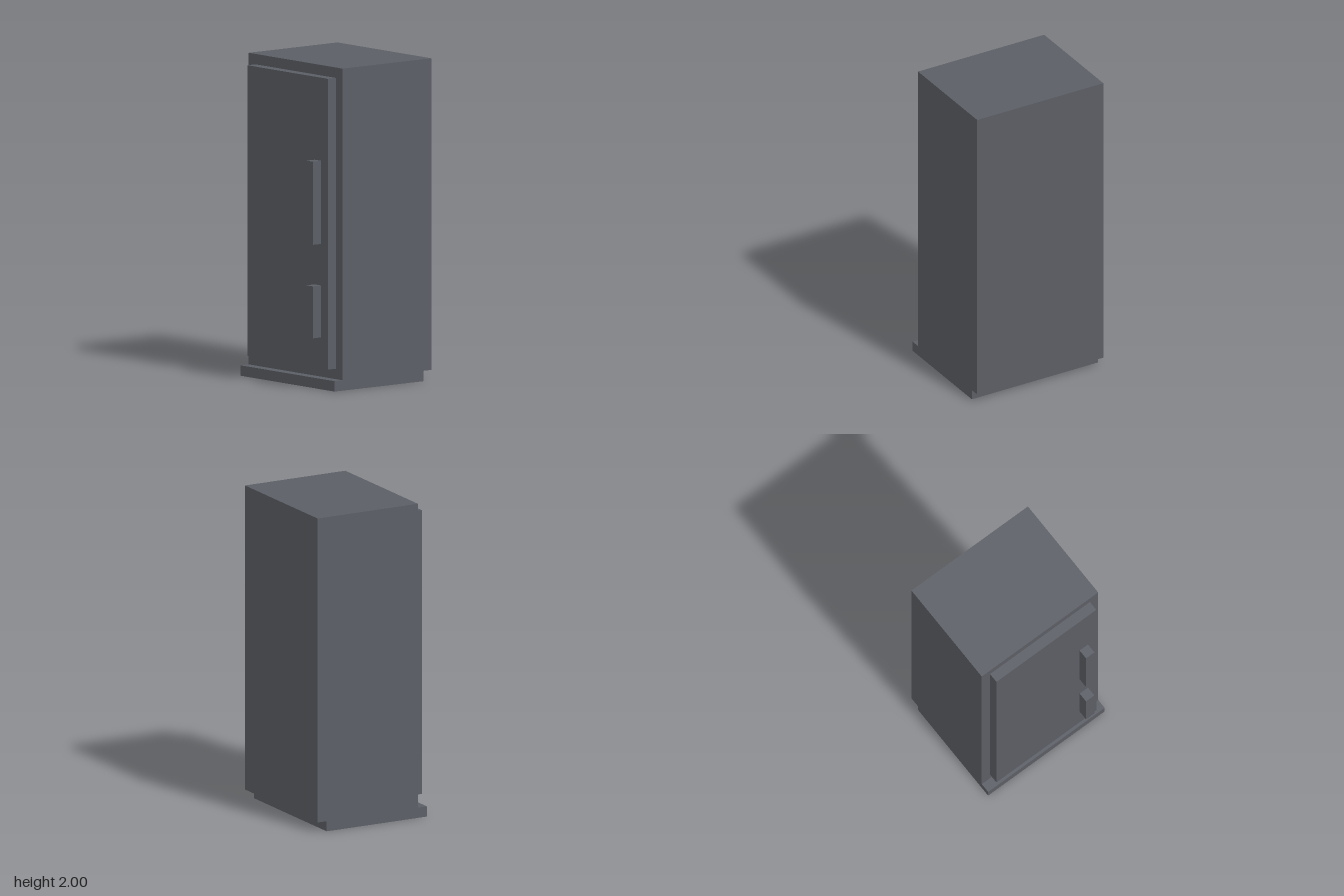
import * as THREE from 'three';

// The cabinet is laid out on a regular module: 31 units tall
const U = 2 / 31;

export function createModel() {
  const group = new THREE.Group();
  const darkGrey = new THREE.MeshStandardMaterial({ color: 0x5b5e65 });
  darkGrey.name = 'darkGrey';

  // Box given by its minimum and maximum corners, in module units
  function addBox(name, [x0, y0, z0], [x1, y1, z1]) {
    const geometry = new THREE.BoxGeometry((x1 - x0) * U, (y1 - y0) * U, (z1 - z0) * U);
    const mesh = new THREE.Mesh(geometry, darkGrey);
    mesh.position.set((x0 + x1) * U / 2, (y0 + y1) * U / 2, (z0 + z1) * U / 2);
    mesh.name = name;
    group.add(mesh);
  }

  // Plinth, stepping forward of the body
  addBox('base', [-7, 0, -5.5], [7, 1, 5.5]);
  // Main cabinet
  addBox('body', [-7, 1, -6.5], [7, 31, 4.5]);
  // Raised door panel
  addBox('door', [-6, 2, 4.5], [6, 30, 5.5]);
  // Long and short handles on the door
  addBox('upperHandle', [4, 14, 5.5], [5, 22, 6.5]);
  addBox('lowerHandle', [4, 5, 5.5], [5, 10, 6.5]);

  return group;
}
